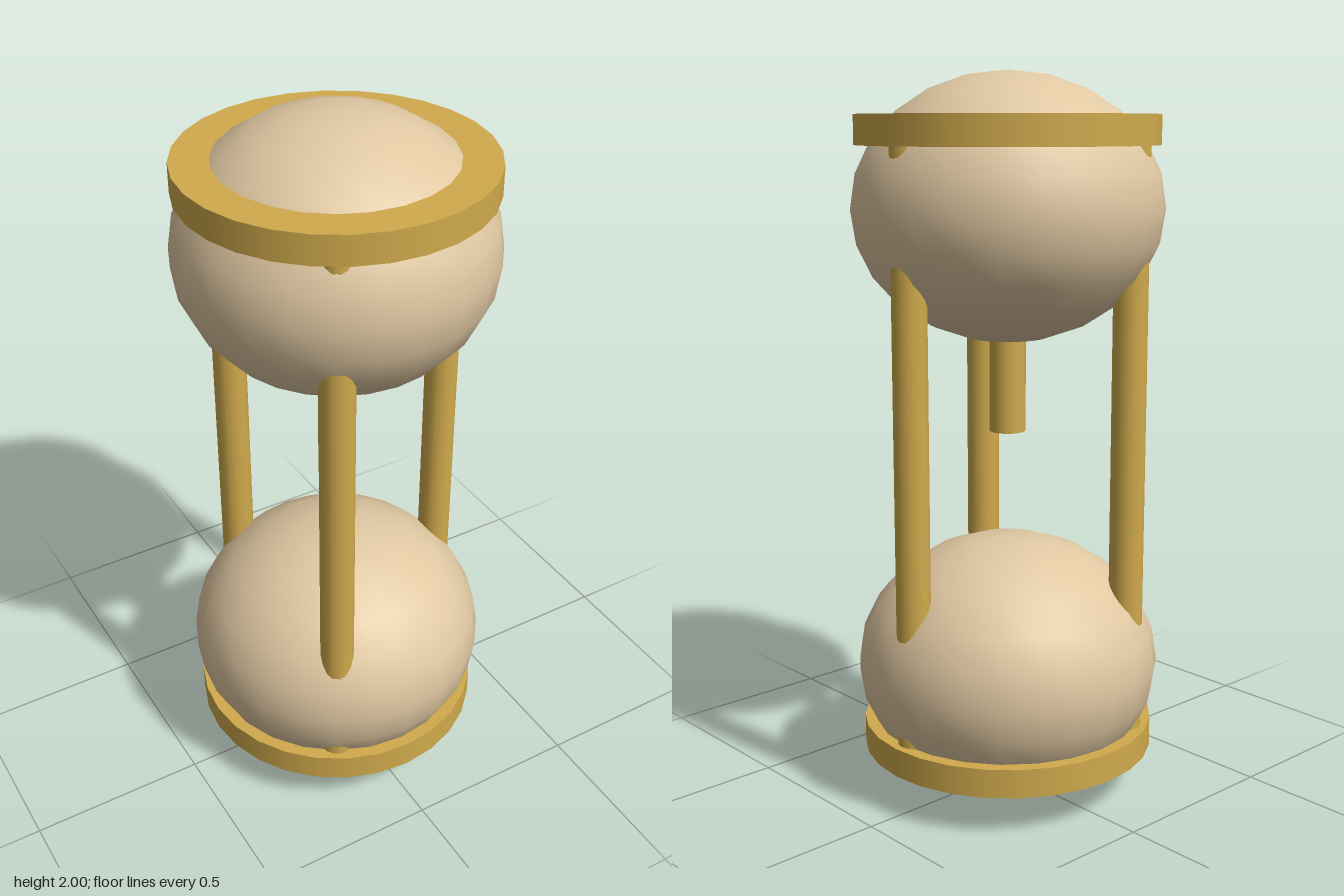
import * as THREE from 'three';

export function createModel() {
  const gold = new THREE.MeshStandardMaterial({ color: 0xd0aa4c });
  gold.name = 'gold';
  const sand = new THREE.MeshStandardMaterial({ color: 0xe0c8a2 });
  sand.name = 'sand';

  const model = new THREE.Group();
  model.name = 'hourglass';

  const add = (name, geometry, material, x, y, z) => {
    const mesh = new THREE.Mesh(geometry, material);
    mesh.name = name;
    mesh.position.set(x, y, z);
    model.add(mesh);
  };

  // Two flattened bulbs
  const bulb = new THREE.SphereGeometry(0.425, 24, 12);
  bulb.scale(1, 0.361 / 0.425, 1);
  add('lowerBulb', bulb, sand, 0, 0.364, 0);
  add('upperBulb', bulb, sand, 0, 1.639, 0);

  // End discs, with the bulbs bulging through them
  const disc = new THREE.CylinderGeometry(0.41, 0.41, 0.08, 28);
  add('lowerDisc', disc, gold, 0, 0.16, 0);
  add('upperDisc', disc, gold, 0, 1.845, 0);

  // Three posts between the discs
  const post = new THREE.CylinderGeometry(0.047, 0.047, 1.68, 16);
  for (let i = 0; i < 3; i++) {
    const a = (i * Math.PI * 2) / 3;
    add('post' + (i + 1), post, gold, 0.343 * Math.cos(a), 1.0025, 0.343 * Math.sin(a));
  }

  // Short neck hanging from the upper bulb
  add('neck', new THREE.CylinderGeometry(0.05, 0.05, 0.3, 16), gold, 0, 1.177, 0);

  return model;
}
